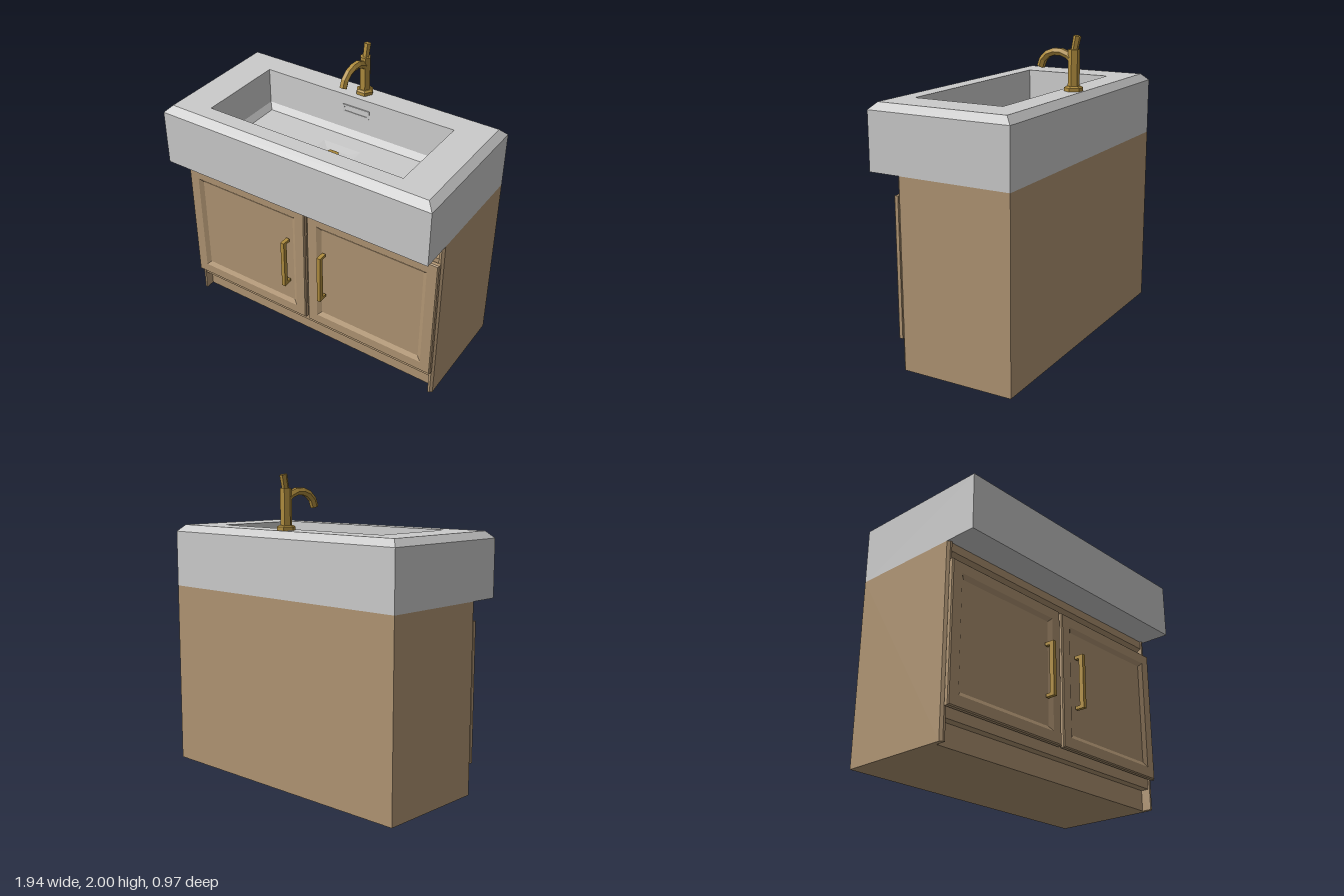
import * as THREE from 'three';

const material = (color) => new THREE.MeshStandardMaterial({ color, flatShading: true });
const stone = material(0xcccccc);
const wood = material(0xb09573);
const brass = material(0xb08d3e);
const hingeDark = material(0x5a3a30);

function add(parent, name, geometry, mat, x = 0, y = 0, z = 0) {
  const mesh = new THREE.Mesh(geometry, mat);
  mesh.name = name;
  mesh.position.set(x, y, z);
  parent.add(mesh);
  return mesh;
}

// Joins rectangular rings [x0, x1, y0, y1, z] in order and closes both ends
function rectLoft(rings) {
  const pos = [], index = [];
  for (const [x0, x1, y0, y1, z] of rings) pos.push(x0, y0, z, x1, y0, z, x1, y1, z, x0, y1, z);
  for (let i = 0; i < rings.length - 1; i++) {
    for (let k = 0; k < 4; k++) {
      const a = i * 4 + k, b = i * 4 + (k + 1) % 4;
      index.push(a, b, b + 4, a, b + 4, a + 4);
    }
  }
  const e = (rings.length - 1) * 4;
  index.push(0, 2, 1, 0, 3, 2, e, e + 1, e + 2, e, e + 2, e + 3);
  const geometry = new THREE.BufferGeometry();
  geometry.setAttribute('position', new THREE.Float32BufferAttribute(pos, 3));
  geometry.setIndex(index);
  const flat = geometry.toNonIndexed();
  flat.computeVertexNormals();
  return flat;
}

function extrude(points, depth) {
  const shape = new THREE.Shape(points.map(([x, y]) => new THREE.Vector2(x, y)));
  return new THREE.ExtrudeGeometry(shape, { depth, bevelEnabled: false });
}

// Six-sided post with corners on the x axis
const hex = (rTop, rBottom, h) => new THREE.CylinderGeometry(rTop, rBottom, h, 6).rotateY(Math.PI / 6);

function makeSink() {
  const sink = new THREE.Group();
  sink.name = 'sink';
  const square = (r, level) => [-r, r, -0.03 - r, -0.03 + r, level];
  const block = rectLoft([
    [-0.97, 0.97, -0.485, 0.485, 1.235],
    [-0.97, 0.97, -0.485, 0.485, 1.61],
    [-0.925, 0.925, -0.44, 0.44, 1.655],
    [-0.7, 0.7, -0.335, 0.28, 1.655],
    [-0.685, 0.685, -0.32, 0.262, 1.42],
    [-0.655, 0.655, -0.285, 0.23, 1.38],
    square(0.14, 1.38),
    square(0.08, 1.372),
  ]);
  add(sink, 'basin', block.rotateX(-Math.PI / 2), stone);

  // Overflow slot surround on the rear basin wall
  const frame = new THREE.Shape([[-0.1, -0.028], [0.1, -0.028], [0.1, 0.028], [-0.1, 0.028]]
    .map(([x, y]) => new THREE.Vector2(x, y)));
  frame.holes.push(new THREE.Path([[-0.088, -0.016], [-0.088, 0.016], [0.088, 0.016], [0.088, -0.016]]
    .map(([x, y]) => new THREE.Vector2(x, y))));
  add(sink, 'overflowSlot', new THREE.ExtrudeGeometry(frame, { depth: 0.008, bevelEnabled: false }),
    stone, 0, 1.56, -0.276);

  add(sink, 'drainRim', hex(0.06, 0.06, 0.02), brass, 0, 1.382, 0.03);
  add(sink, 'drainCap', hex(0, 0.06, 0.012), brass, 0, 1.398, 0.03);
  return sink;
}

function makeCabinet() {
  const cabinet = new THREE.Group();
  cabinet.name = 'cabinet';
  // Side profile (z, y) with recessed kick board and sloped finger pull
  const body = extrude([
    [-0.485, 0], [0.22, 0], [0.22, 0.14], [0.275, 0.14], [0.275, 1.13],
    [0.2, 1.13], [0.275, 1.18], [0.275, 1.235], [-0.485, 1.235],
  ], 1.89).rotateY(-Math.PI / 2).translate(0.945, 0, 0);
  add(cabinet, 'carcass', body, wood);

  // Side panels with a chamfered front edge, plan points are (x, -z)
  for (const s of [-1, 1]) {
    const plan = [[0.94, 0.485], [0.94, -0.285], [0.955, -0.285], [0.97, -0.27], [0.97, 0.485]]
      .map(([x, y]) => [s * x, y]);
    add(cabinet, s > 0 ? 'leftSide' : 'rightSide', extrude(plan, 1.235).rotateX(-Math.PI / 2), wood);
  }
  return cabinet;
}

function makeDoor(s) {
  const door = new THREE.Group();
  door.name = s > 0 ? 'leftDoor' : 'rightDoor';
  // Rectangle inset from the door outline at a given depth
  const ring = (inset, z) => {
    const a = s * (0.01 + inset), b = s * (0.96 - inset);
    return [Math.min(a, b), Math.max(a, b), 0.2 + inset, 1.11 - inset, z];
  };
  const leaf = rectLoft([
    ring(0, 0.29), ring(0, 0.313), ring(0.007, 0.32),
    ring(0.075, 0.32), ring(0.103, 0.302),
  ]);
  add(door, 'doorLeaf', leaf, wood);
  for (const y of [0.37, 0.94]) {
    add(door, 'hinge', new THREE.BoxGeometry(0.06, 0.1, 0.02), hingeDark, s * 0.915, y, 0.282);
  }

  // Bar handle on two posts
  const x = s * 0.143;
  add(door, 'handleBar', new THREE.BoxGeometry(0.026, 0.366, 0.032), brass, x, 0.657, 0.369);
  for (const y of [0.485, 0.829]) {
    add(door, 'handlePost', new THREE.BoxGeometry(0.026, 0.022, 0.036), brass, x, y, 0.337);
  }
  return door;
}

function makeFaucet() {
  const faucet = new THREE.Group();
  faucet.name = 'faucet';
  add(faucet, 'faucetBase', hex(0.06, 0.06, 0.022), brass, 0, 1.666, -0.375);
  add(faucet, 'faucetCollar', hex(0.045, 0.06, 0.01), brass, 0, 1.682, -0.375);
  add(faucet, 'faucetColumn', hex(0.037, 0.037, 0.23), brass, 0, 1.8, -0.375);
  const lever = add(faucet, 'lever', hex(0.025, 0.022, 0.105), brass, 0, 1.947, -0.386);
  lever.rotation.x = -0.2;

  // Arched spout with a closed tip
  const path = new THREE.CatmullRomCurve3([
    [0, 1.845, -0.375], [-0.002, 1.885, -0.315], [-0.004, 1.895, -0.255],
    [-0.007, 1.88, -0.195], [-0.01, 1.845, -0.155], [-0.012, 1.793, -0.135],
  ].map((p) => new THREE.Vector3(...p)));
  add(faucet, 'spout', new THREE.TubeGeometry(path, 6, 0.026, 6), brass);
  const tip = path.getPoint(1);
  const cap = add(faucet, 'spoutTip', new THREE.CircleGeometry(0.026, 6), brass, tip.x, tip.y, tip.z);
  cap.quaternion.setFromUnitVectors(new THREE.Vector3(0, 0, 1), path.getTangent(1));
  return faucet;
}

export function createModel() {
  const model = new THREE.Group();
  model.name = 'washstand';
  model.add(makeCabinet(), makeSink(), makeDoor(-1), makeDoor(1), makeFaucet());
  return model;
}
